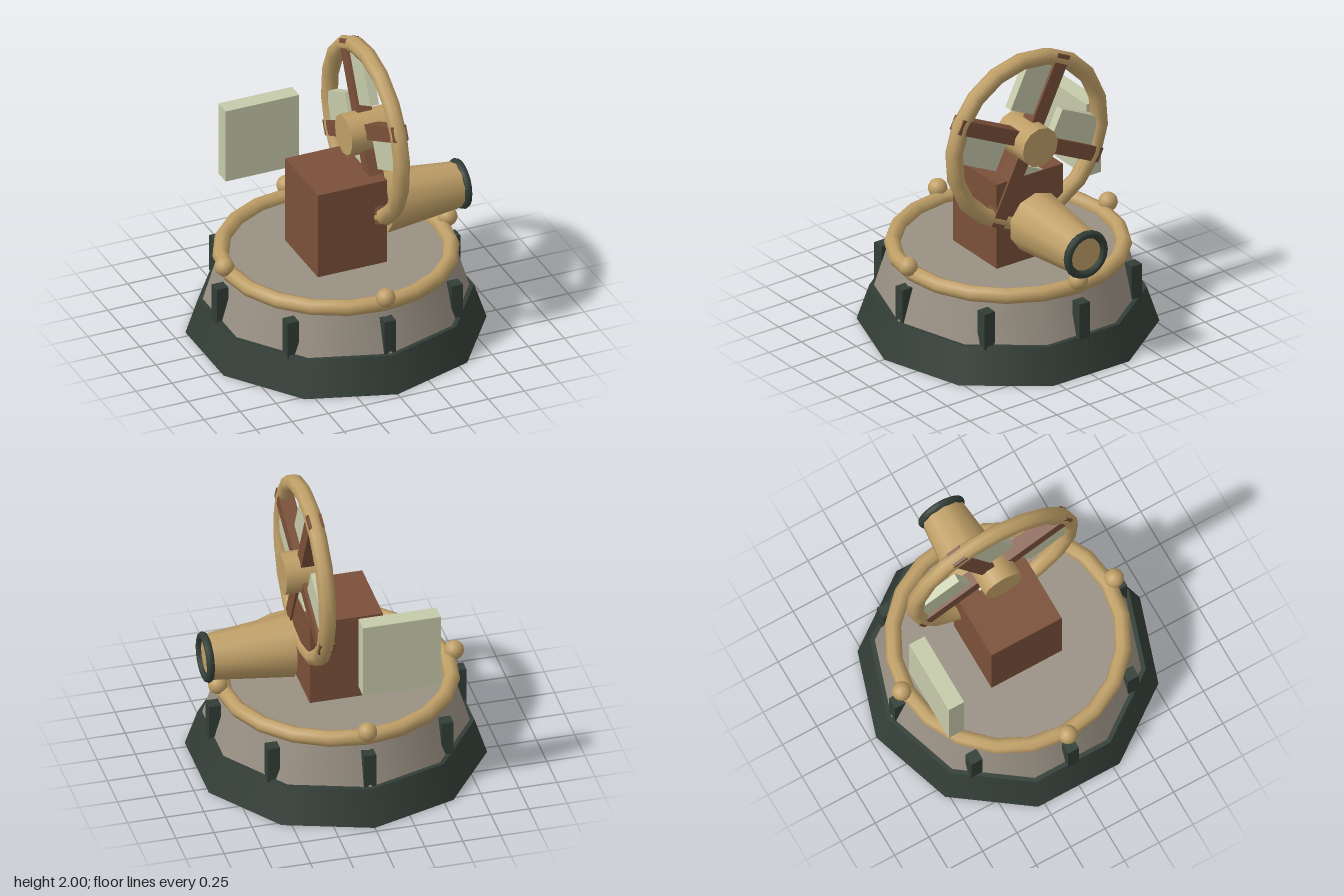
import * as THREE from 'three';

const material = (name, color) => {
  const m = new THREE.MeshStandardMaterial({ color });
  m.name = name;
  return m;
};

export function createModel() {
  const brass = material('brass', 0xbf9f67);
  const wood = material('wood', 0x7a5039);
  const iron = material('darkIron', 0x333e37);
  const stone = material('stone', 0x9a9184);
  const pale = material('palePanel', 0xc6caaa);

  const model = new THREE.Group();
  model.name = 'wheelTurret';

  const add = (parent, name, geometry, mat, x = 0, y = 0, z = 0) => {
    const mesh = new THREE.Mesh(geometry, mat);
    mesh.name = name;
    mesh.position.set(x, y, z);
    parent.add(mesh);
    return mesh;
  };

  // Ten-sided foot and drum
  add(model, 'foot', new THREE.CylinderGeometry(0.88, 0.96, 0.24, 10), iron, 0, 0.12, 0);
  add(model, 'drum', new THREE.CylinderGeometry(0.76, 0.85, 0.3, 10), stone, 0, 0.39, 0);

  // Rail around the drum top, with four balls
  const rail = add(model, 'rail', new THREE.TorusGeometry(0.735, 0.053, 8, 20), brass, 0, 0.55, 0);
  rail.rotation.x = Math.PI / 2;
  for (let i = 0; i < 4; i++) {
    const a = (i * Math.PI) / 2;
    add(model, 'railBall', new THREE.SphereGeometry(0.063, 14, 10), brass,
      0.775 * Math.cos(a), 0.61, 0.775 * Math.sin(a));
  }

  // Eight upright brackets, all square to the axes
  for (let i = 0; i < 8; i++) {
    const a = (i * Math.PI) / 4;
    add(model, 'bracket', new THREE.BoxGeometry(0.08, 0.255, 0.08), iron,
      0.805 * Math.cos(a), 0.3475, 0.805 * Math.sin(a));
  }

  // Central housing and the plate behind it
  add(model, 'housing', new THREE.BoxGeometry(0.48, 0.6, 0.512), wood, 0, 0.84, 0);
  add(model, 'backPlate', new THREE.BoxGeometry(0.51, 0.515, 0.112), pale, -0.243, 1.103, -0.657);

  // Wheel: built facing local z, then turned to face +x
  const wheel = new THREE.Group();
  wheel.name = 'wheel';
  wheel.position.set(0.205, 1.38, 0);
  wheel.rotation.set(0, Math.PI / 2, -0.449);
  model.add(wheel);
  add(wheel, 'rim', new THREE.TorusGeometry(0.565, 0.057, 8, 18), brass);
  const hub = add(wheel, 'hub', new THREE.CylinderGeometry(0.136, 0.136, 0.305, 12), brass);
  hub.rotation.x = Math.PI / 2;
  add(wheel, 'spoke', new THREE.BoxGeometry(1.2, 0.1, 0.1), wood);
  add(wheel, 'spoke', new THREE.BoxGeometry(0.1, 1.2, 0.1), wood);

  // One paddle along the same side of every spoke
  for (let i = 0; i < 4; i++) {
    const arm = new THREE.Group();
    arm.name = 'paddleArm';
    arm.rotation.z = (i * Math.PI) / 2;
    wheel.add(arm);
    add(arm, 'paddle', new THREE.BoxGeometry(0.35, 0.222, 0.06), pale, 0.345, 0.131, 0);
  }

  // Tapered barrel pointing along +x, with a dark collar at its mouth
  const barrel = new THREE.Group();
  barrel.name = 'barrelAssembly';
  barrel.position.set(0, 0.83, 0);
  barrel.rotation.y = Math.PI / 2;
  model.add(barrel);
  const tube = add(barrel, 'barrel', new THREE.CylinderGeometry(0.147, 0.205, 0.55, 10), brass, 0, 0, 0.58);
  tube.rotation.x = Math.PI / 2;
  add(barrel, 'collar', new THREE.TorusGeometry(0.139, 0.027, 8, 20), iron, 0, 0, 0.857);

  return model;
}
